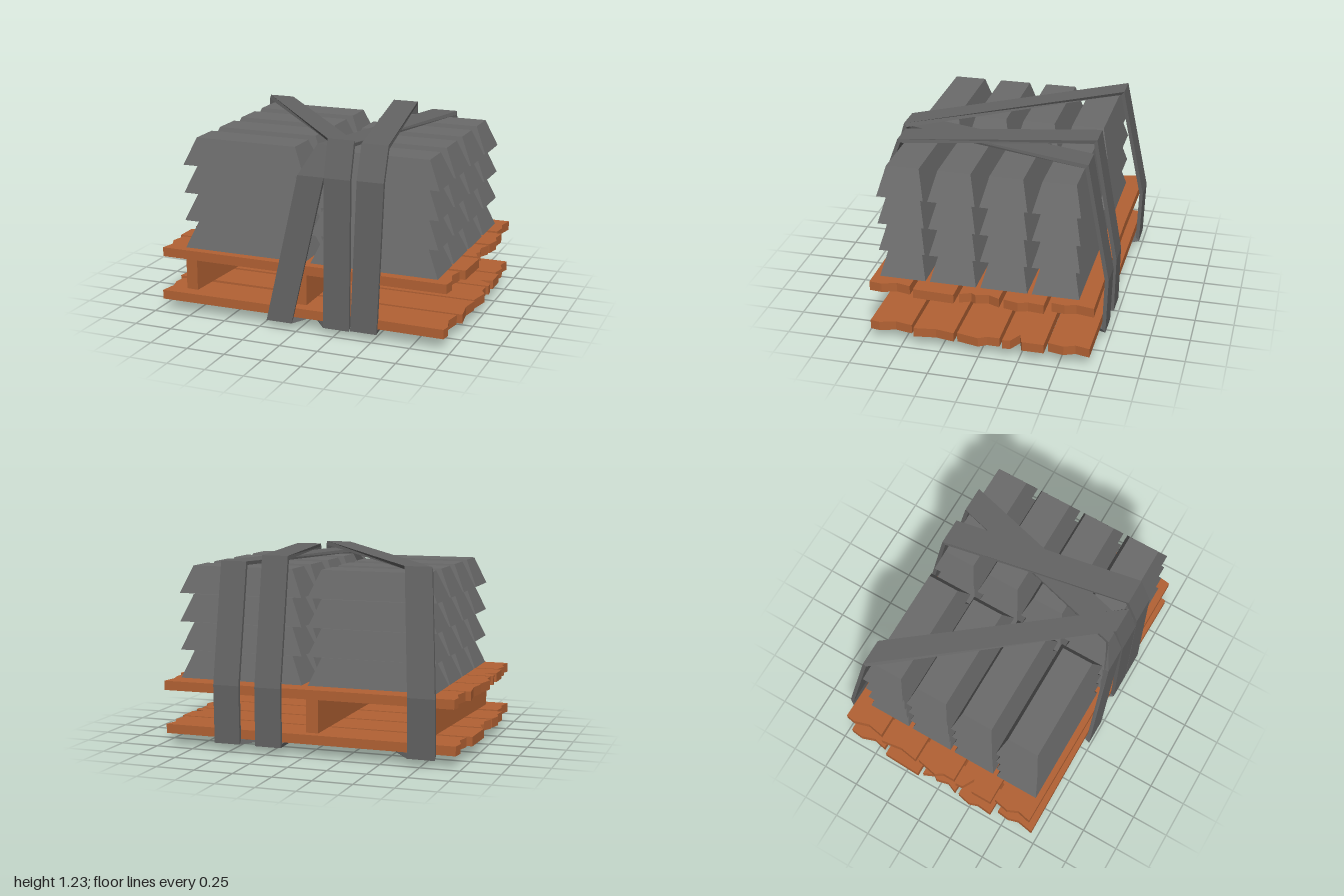
import * as THREE from 'three';

const wood = new THREE.MeshStandardMaterial({ color: 0xb36234 });
wood.name = 'wood';
const metal = new THREE.MeshStandardMaterial({ color: 0x6b6b6b });
metal.name = 'ingot metal';
const strapGrey = new THREE.MeshStandardMaterial({ color: 0x646464 });
strapGrey.name = 'strap grey';

function add(parent, name, geometry, material) {
  const mesh = new THREE.Mesh(geometry, material);
  mesh.name = name;
  parent.add(mesh);
  return mesh;
}

// Chipped plank outlines as [x, z]: right end then left end
const planks = [
  [[0.96, -0.71], [0.94, -0.6], [0.96, -0.53], [0.95, -0.45], [-0.95, -0.44], [-0.93, -0.55], [-0.96, -0.65], [-0.95, -0.71], [-0.2, -0.7]],
  [[0.99, -0.41], [0.98, -0.31], [1, -0.25], [0.98, -0.16], [-0.98, -0.16], [-0.96, -0.28], [-0.98, -0.42]],
  [[0.98, -0.13], [0.95, -0.06], [0.97, 0.02], [0.95, 0.05], [0.98, 0.12], [-0.97, 0.13], [-0.97, 0.05], [-1, 0], [-0.97, -0.14]],
  [[1, 0.15], [0.99, 0.41], [-0.98, 0.41], [-0.98, 0.27], [-0.9, 0.245], [-0.98, 0.2], [-0.985, 0.15]],
  [[0.96, 0.44], [0.94, 0.53], [0.97, 0.62], [0.96, 0.7], [-0.96, 0.69], [-0.94, 0.6], [-0.97, 0.53], [-0.95, 0.43]],
];

function plankLayer(name, top) {
  const layer = new THREE.Group();
  layer.name = name;
  for (const outline of planks) {
    const shape = new THREE.Shape(outline.map(([x, z]) => new THREE.Vector2(x, z)));
    const geo = new THREE.ExtrudeGeometry(shape, { depth: 0.06, bevelEnabled: false });
    geo.rotateX(Math.PI / 2);
    add(layer, 'plank', geo, wood);
  }
  layer.position.y = top;
  return layer;
}

// Block with a smaller top than base
function ingotGeometry() {
  const geo = new THREE.BoxGeometry(0.83, 0.174, 0.294);
  const p = geo.attributes.position;
  for (let i = 0; i < p.count; i++) {
    if (p.getY(i) > 0) p.setXYZ(i, p.getX(i) * 0.815, p.getY(i), p.getZ(i) * 0.7);
  }
  geo.computeVertexNormals();
  return geo;
}

// Closed band through outer points [x, y, z], its width running along x
function strapGeometry(path, half = 0.086, thick = 0.024) {
  const n = path.length;
  const normal = (a, b) => new THREE.Vector2(b[1] - a[1], a[2] - b[2]).normalize(); // (z, y)
  const sections = path.map((p, i) => {
    const n1 = normal(path[(i + n - 1) % n], p);
    const n2 = normal(p, path[(i + 1) % n]);
    const m = n1.clone().add(n2).multiplyScalar(thick / (1 + n1.dot(n2)));
    const [x, y, z] = p;
    return [
      [x - half, y, z], [x + half, y, z],
      [x + half, y - m.y, z - m.x], [x - half, y - m.y, z - m.x],
    ];
  });
  const pos = [];
  sections.forEach((s, i) => {
    const t = sections[(i + 1) % n];
    for (let k = 0; k < 4; k++) {
      const j = (k + 1) % 4;
      pos.push(...s[k], ...s[j], ...t[j], ...s[k], ...t[j], ...t[k]);
    }
  });
  const geo = new THREE.BufferGeometry();
  geo.setAttribute('position', new THREE.Float32BufferAttribute(pos, 3));
  geo.computeVertexNormals();
  return geo;
}

export function createModel() {
  const model = new THREE.Group();
  model.name = 'ingotPallet';

  // Pallet
  const pallet = new THREE.Group();
  pallet.name = 'pallet';
  model.add(pallet);
  pallet.add(plankLayer('topPlanks', 0.42));
  const lower = plankLayer('bottomPlanks', 0.135);
  lower.rotation.y = Math.PI;
  pallet.add(lower);
  for (const [x, turn] of [[-0.75, -0.063], [-0.02, 0]]) {
    const stringer = add(pallet, 'stringer', new THREE.BoxGeometry(0.08, 0.225, 1.26), wood);
    stringer.position.set(x, 0.2475, -0.005);
    stringer.rotation.y = turn;
  }

  // Stacked ingots
  const stack = new THREE.Group();
  stack.name = 'ingotStack';
  model.add(stack);
  const ingot = ingotGeometry();
  for (let layer = 0; layer < 4; layer++) {
    for (const x of [-0.395, 0.475]) {
      for (let row = 0; row < 4; row++) {
        add(stack, 'ingot', ingot, metal).position.set(x, 0.514 + layer * 0.183, 0.507 - row * 0.322);
      }
    }
  }

  // Straps: front bottom, knee, top; back top, knee, bottom; sag underneath
  const straps = {
    slantedStrap: [[-0.12, 0.045, 0.74], [0.085, 1, 0.705], [0.19, 1.19, 0.635],
      [0.52, 1.19, -0.59], [0.52, 0.42, -0.735], [0.52, 0.045, -0.725], [0.28, 0.012, -0.15]],
    diagonalStrap: [[0.26, 0.04, 0.725], [0.26, 1, 0.71], [0.26, 1.232, 0.645],
      [-0.69, 1.195, -0.6], [-0.755, 0.42, -0.748], [-0.755, 0.045, -0.735], [0, 0, 0.35]],
    sideStrap: [[0.44, 0.045, 0.725], [0.47, 1, 0.7], [0.47, 1.215, 0.62],
      [0.24, 1.232, -0.59], [0.24, 0.42, -0.735], [0.24, 0.045, -0.73], [0.32, 0.004, -0.15]],
  };
  for (const [name, path] of Object.entries(straps)) {
    add(model, name, strapGeometry(path), strapGrey);
  }
  return model;
}
